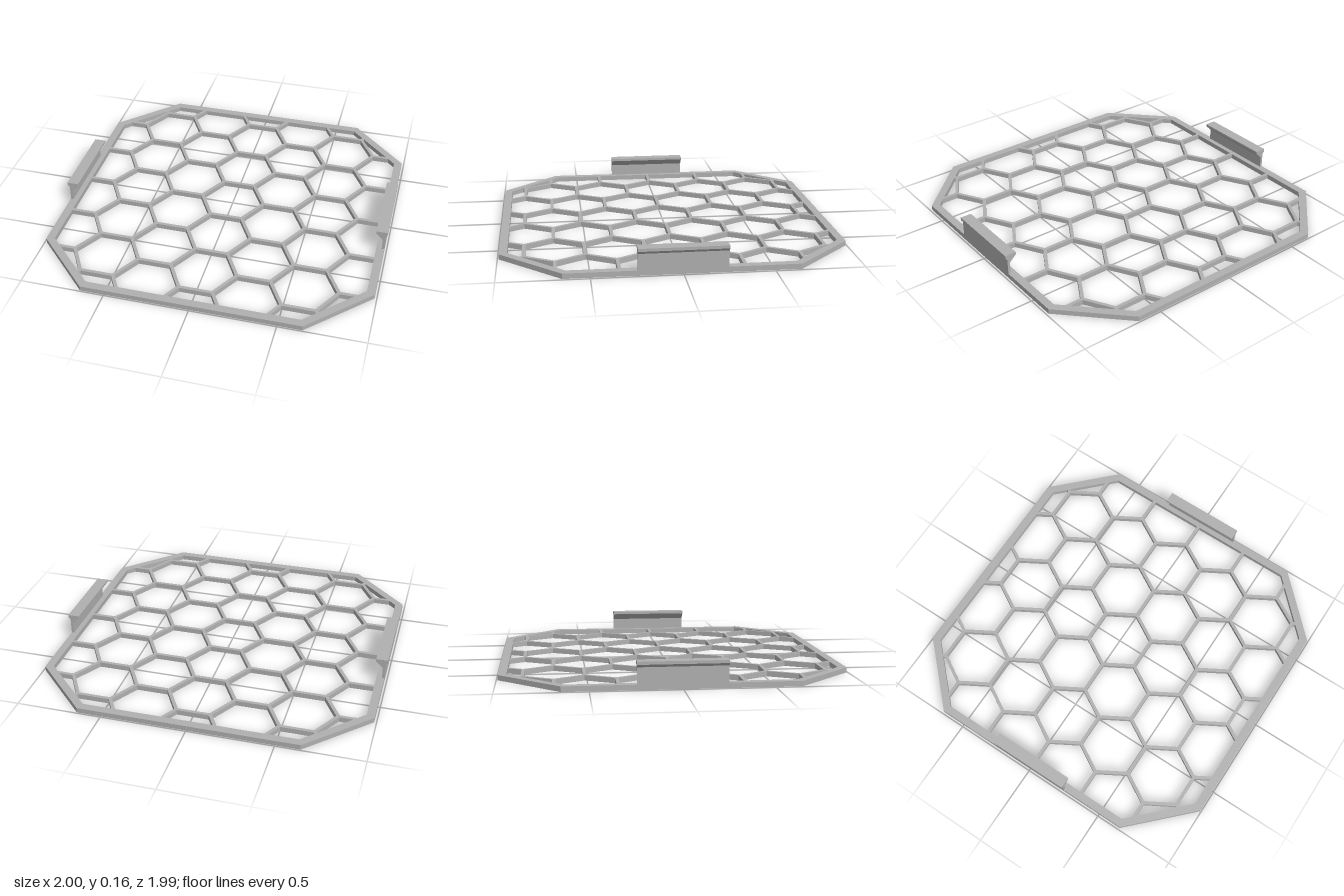
import * as THREE from 'three';

const THICK = 0.03;   // plate height
const PITCH = 0.342;  // distance between opposite sides of neighbouring cells
const WALL = 0.02;    // lattice wall width

// Octagon outline with half sizes hx, hy and |x| + |y| = sum on the cut corners
function octagon(hx, hy, sum) {
  const a = sum - hy, b = sum - hx;
  return [[hx, -b], [hx, b], [a, hy], [-a, hy], [-hx, b], [-hx, -b], [-a, -hy], [a, -hy]]
    .map(([x, y]) => new THREE.Vector2(x, y));
}

// Clip a convex polygon by a convex counter-clockwise outline
function clip(poly, outline) {
  outline.forEach((a, i) => {
    const edge = outline[(i + 1) % outline.length].clone().sub(a);
    const side = (p) => edge.x * (p.y - a.y) - edge.y * (p.x - a.x);
    const out = [];
    poly.forEach((p, j) => {
      const q = poly[(j + 1) % poly.length];
      const sp = side(p), sq = side(q);
      if (sp >= 0) out.push(p);
      if ((sp >= 0) !== (sq >= 0)) out.push(p.clone().lerp(q, sp / (sp - sq)));
    });
    poly = out;
  });
  return poly;
}

// Flat-topped hexagonal opening
function hexagon(cx, cy) {
  const r = (PITCH - WALL) / Math.sqrt(3);
  return Array.from({ length: 6 }, (_, i) => new THREE.Vector2(
    cx + r * Math.cos(i * Math.PI / 3), cy + r * Math.sin(i * Math.PI / 3)));
}

export function createModel() {
  const model = new THREE.Group();
  model.name = 'honeycombGuard';
  const grey = new THREE.MeshStandardMaterial({ color: 0xb0b0b0 });
  grey.name = 'grey';

  // Octagonal rim and honeycomb lattice, cut from one plate
  const plate = new THREE.Shape(octagon(0.987, 0.993, 1.635));
  const inner = octagon(0.94, 0.945, 1.57);
  for (let col = -3; col <= 3; col++) {
    const shift = col % 2 ? PITCH / 2 : 0;
    for (let row = -4; row <= 4; row++) {
      const hole = clip(hexagon(col * PITCH * Math.sqrt(3) / 2, row * PITCH + shift), inner);
      if (hole.length > 2 && Math.abs(THREE.ShapeUtils.area(hole)) > 1e-4) {
        plate.holes.push(new THREE.Path(hole));
      }
    }
  }
  const plateGeometry = new THREE.ExtrudeGeometry(plate, { depth: THICK, bevelEnabled: false });
  plateGeometry.rotateX(-Math.PI / 2);
  const lattice = new THREE.Mesh(plateGeometry, grey);
  lattice.name = 'rimAndLattice';
  model.add(lattice);

  // Snap clips: thin upright wall with a hooked lip, one on each side
  const profile = new THREE.Shape([
    [0.972, THICK], [0.987, THICK], [0.987, 0.123], [0.999, 0.138], [0.999, 0.155],
    [0.93, 0.155], [0.93, 0.14], [0.972, 0.1],
  ].map(([x, y]) => new THREE.Vector2(x, y)));
  const clipGeometry = new THREE.ExtrudeGeometry(profile, { depth: 0.494, bevelEnabled: false });
  clipGeometry.translate(0, 0, -0.247);
  ['leftClip', 'rightClip'].forEach((name, i) => {
    const mesh = new THREE.Mesh(clipGeometry, grey);
    mesh.name = name;
    mesh.rotation.y = i * Math.PI;
    model.add(mesh);
  });

  return model;
}
